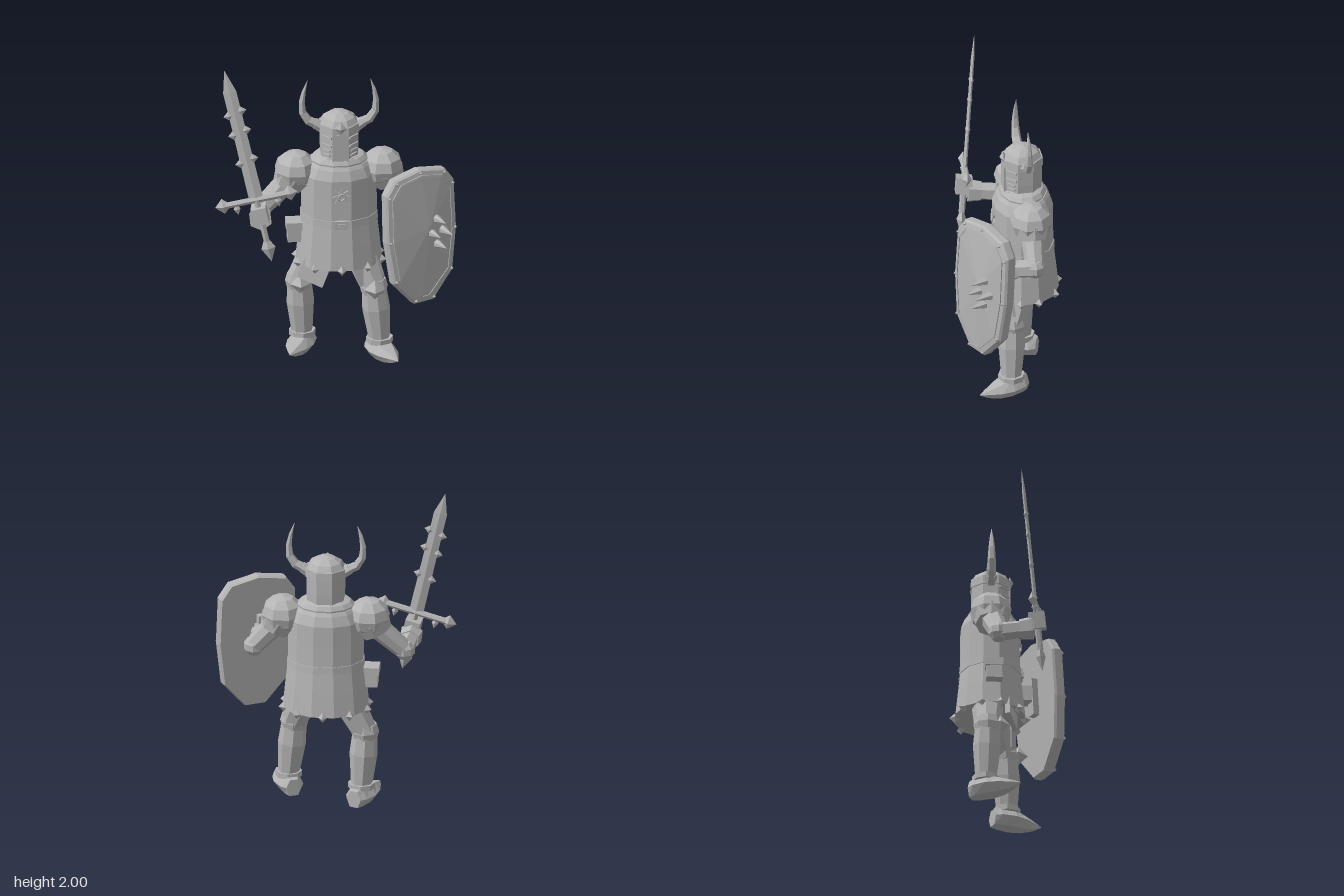
import * as THREE from 'three';

const steel = new THREE.MeshStandardMaterial({ color: 0xb4b4b4, flatShading: true });
steel.name = 'grey steel';
const V = (x, y, z) => new THREE.Vector3(x, y, z);
const CX = 0.044, CZ = -0.115; // body axis

function add(parent, name, geo, pos) {
  const g = geo.index ? geo.toNonIndexed() : geo;
  g.computeVertexNormals();
  const m = new THREE.Mesh(g, steel);
  m.name = name;
  if (pos) m.position.set(...pos);
  parent.add(m);
  return m;
}
// Elliptical polygon lying flat at height y
function ring(y, rx, rz, n, rot = 0, cx = 0, cz = 0) {
  return Array.from({ length: n }, (_, i) => {
    const a = rot + (i / n) * Math.PI * 2;
    return V(cx + rx * Math.sin(a), y, cz + rz * Math.cos(a));
  });
}
// Skin over a row of equal-sized rings, capped at both ends
function loft(rings) {
  const p = [], n = rings[0].length;
  const tri = (...t) => t.forEach(v => p.push(v.x, v.y, v.z));
  const mid = r => r.reduce((s, v) => s.add(v), V(0, 0, 0)).divideScalar(n);
  const a = rings[0], b = rings[rings.length - 1], ma = mid(a), mb = mid(b);
  for (let i = 0; i < n; i++) {
    const k = (i + 1) % n;
    for (let j = 0; j + 1 < rings.length; j++) {
      tri(rings[j][i], rings[j][k], rings[j + 1][i]);
      tri(rings[j][k], rings[j + 1][k], rings[j + 1][i]);
    }
    tri(a[k], a[i], ma);
    tri(b[i], b[k], mb);
  }
  const g = new THREE.BufferGeometry();
  g.setAttribute('position', new THREE.Float32BufferAttribute(p, 3));
  return g;
}
// Straight tapered segment between two points
function limb(parent, name, a, b, r0, r1, sides = 8) {
  const A = V(...a), B = V(...b), d = B.clone().sub(A);
  const m = add(parent, name, new THREE.CylinderGeometry(r1, r0, d.length(), sides));
  m.position.copy(A).add(B).multiplyScalar(0.5);
  m.quaternion.setFromUnitVectors(V(0, 1, 0), d.normalize());
  return m;
}
const box = (p, name, w, h, d, pos) => add(p, name, new THREE.BoxGeometry(w, h, d), pos);
function gem(p, name, rx, ry, rz, pos) {
  return add(p, name, new THREE.OctahedronGeometry(1).scale(rx, ry, rz), pos);
}

function buildTorso(root) {
  const g = new THREE.Group(); g.name = 'torso'; root.add(g);
  const R = (y, rx, rz) => ring(y, rx, rz, 12, Math.PI / 12, CX, CZ);
  add(g, 'surcoat', loft([R(0.63, 0.272, 0.223), R(0.78, 0.257, 0.207), R(0.93, 0.24, 0.19),
    R(1.08, 0.238, 0.187), R(1.22, 0.234, 0.187), R(1.28, 0.2, 0.165), R(1.3, 0.185, 0.15)]));
  add(g, 'gorget', loft([R(1.27, 0.172, 0.14), R(1.31, 0.18, 0.145), R(1.335, 0.155, 0.13), R(1.345, 0.12, 0.11)]));
  add(g, 'belt', loft([R(0.908, 0.246, 0.198), R(0.955, 0.243, 0.195)]));
  box(g, 'buckle', 0.085, 0.055, 0.02, [CX, 0.932, 0.077]);
  box(g, 'buckleTongue', 0.045, 0.025, 0.02, [CX, 0.932, 0.083]);
  for (const deg of [0, 38, 75, 105, 142, 180, 218, 255, 285, 322]) {
    const a = deg * Math.PI / 180;
    gem(g, 'hemSpike', 0.028, 0.034, 0.034,
      [CX + 0.265 * Math.sin(a), 0.632, CZ + 0.217 * Math.cos(a)]).rotation.y = a;
  }
  // Eight-pointed chest star
  const star = new THREE.Shape();
  for (let i = 0; i < 16; i++) {
    const r = i % 2 ? 0.03 : 0.058, a = i * Math.PI / 8;
    star[i ? 'lineTo' : 'moveTo'](r * Math.sin(a), r * Math.cos(a));
  }
  add(g, 'chestStar', new THREE.ExtrudeGeometry(star, { depth: 0.012, bevelEnabled: false }), [CX, 1.12, 0.063]);
  add(g, 'starRing', new THREE.TorusGeometry(0.02, 0.006, 4, 10), [CX, 1.12, 0.077]);
  box(g, 'pouch', 0.085, 0.1, 0.1, [-0.235, 0.82, -0.1]);
  box(g, 'pouchFlap', 0.1, 0.05, 0.11, [-0.237, 0.875, -0.1]);
}

function buildHelmet(root) {
  const g = new THREE.Group(); g.name = 'helmet'; g.position.set(CX, 0, -0.113); root.add(g);
  const R = (y, r) => ring(y, r, r, 8, Math.PI / 8);
  add(g, 'helmetShell', loft([R(1.3, 0.12), R(1.4, 0.125), R(1.55, 0.125), R(1.59, 0.1), R(1.615, 0.06), R(1.627, 0.012)]));
  add(g, 'browBand', loft([R(1.5, 0.132), R(1.555, 0.13)]));
  box(g, 'facePlate', 0.104, 0.2, 0.02, [0, 1.41, 0.113]);
  gem(g, 'browGem', 0.04, 0.042, 0.022, [0, 1.555, 0.121]);
  for (const s of [-1, 1]) {
    [1.335, 1.365, 1.395, 1.43, 1.485].forEach((y, i) => {
      box(g, i < 3 ? 'breathBar' : 'eyeRim', i < 3 ? 0.055 : 0.08, 0.013, 0.018, [s * 0.082, y, 0.082]).rotation.y = s * Math.PI / 4;
    });
    // Horn rings follow a bent path that sweeps out and up
    limb(g, 'hornSocket', [s * 0.1, 1.515, 0], [s * 0.15, 1.545, 0], 0.038, 0.034, 6);
    const path = [[0.13, 1.535, 0.031], [0.19, 1.565, 0.029], [0.225, 1.62, 0.025],
      [0.23, 1.69, 0.02], [0.218, 1.76, 0.013], [0.195, 1.835, 0.001]];
    const rings = path.map(([x, y, r], i) => {
      const q = path[Math.max(i - 1, 0)], n = path[Math.min(i + 1, path.length - 1)];
      const t = Math.atan2(s * (n[0] - q[0]), n[1] - q[1]);
      return ring(0, r, r, 6).map(v => V(s * x + v.x * Math.cos(t), y - v.x * Math.sin(t), v.z));
    });
    add(g, 'horn', loft(rings));
  }
}

function buildArm(root, side, elbow, wrist) {
  const g = new THREE.Group(); g.name = side < 0 ? 'rightArm' : 'leftArm'; root.add(g);
  const x = CX + side * 0.267;
  add(g, 'pauldron', new THREE.SphereGeometry(0.135, 8, 6).scale(1, 0.9, 1), [x, 1.235, -0.12]).rotation.y = Math.PI / 8;
  limb(g, 'pauldronRim', [x + side * 0.015, 1.2, -0.12], [x + side * 0.05, 1.13, -0.12], 0.122, 0.097);
  limb(g, 'upperArm', [x + side * 0.01, 1.2, -0.12], elbow, 0.075, 0.06);
  add(g, 'elbow', new THREE.SphereGeometry(0.066, 8, 5), elbow);
  limb(g, 'forearm', elbow, wrist, 0.06, 0.055, 6);
  const a = V(...elbow), b = V(...wrist);
  limb(g, 'gauntletCuff', a.clone().lerp(b, 0.6).toArray(), a.clone().lerp(b, 0.95).toArray(), 0.066, 0.076, 6);
  return g;
}

function buildLeg(root, side, hip, knee, ankle) {
  const g = new THREE.Group(); g.name = side < 0 ? 'rightLeg' : 'leftLeg'; root.add(g);
  limb(g, 'thigh', hip, knee, 0.11, 0.082);
  const [kx, ky, kz] = knee, [ax, , az] = ankle;
  limb(g, 'kneeBand', [kx, ky, kz], [kx, ky + 0.05, kz], 0.088, 0.074);
  limb(g, 'kneeBandLower', [kx, ky, kz], [kx, ky - 0.045, kz], 0.088, 0.077);
  gem(g, 'kneeSpike', 0.065, 0.065, 0.06, [kx, ky + 0.005, kz + 0.08]);
  const calf = V(...knee).lerp(V(...ankle), 0.4).toArray();
  limb(g, 'upperGreave', knee, calf, 0.076, 0.087);
  limb(g, 'lowerGreave', calf, ankle, 0.087, 0.065);
  limb(g, 'ankleCuff', [ax, 0.135, az], [ax, 0.1, az], 0.083, 0.083);
  const t = box(g, 'tasset', 0.17, 0.17, 0.03, [CX + side * 0.16, 0.605, 0.01]);
  t.rotation.set(-0.12, side * 0.3, side * 0.38);
  // Pointed sabaton: six-sided sections from heel to toe
  const sec = [[-0.1, 0.05, 0.11], [-0.06, 0.075, 0.125], [0.03, 0.088, 0.125], [0.11, 0.07, 0.1], [0.18, 0.035, 0.08], [0.235, 0.002, 0.062]];
  const rings = sec.map(([z, w, top]) => {
    const lo = z > 0.2 ? 0.058 : 0.005 + Math.max(0, z - 0.08) * 0.25;
    return [[w, 0.06], [w * 0.5, top], [-w * 0.5, top], [-w, 0.06], [-w * 0.55, lo], [w * 0.55, lo]].map(([x, y]) => V(x, y, z));
  });
  add(g, 'boot', loft(rings), [ax, -0.004, az]).rotation.y = side * 0.42;
}

function buildSword(root) {
  const g = new THREE.Group(); g.name = 'sword'; g.position.set(-0.49, 1.16, 0.145); root.add(g);
  const up = V(-0.19, 0.84, -0.095).normalize();
  const z = V(0.485, 0.11, 0.06).cross(up).normalize();
  g.quaternion.setFromRotationMatrix(new THREE.Matrix4().makeBasis(up.clone().cross(z), up, z));
  const R = (y, w, d) => ring(y, w, d, 4);
  add(g, 'blade', loft([R(0, 0.045, 0.013), R(0.45, 0.042, 0.012), R(0.72, 0.042, 0.011), R(0.866, 0.001, 0.001)]));
  for (const y of [0.26, 0.45, 0.58]) for (const s of [-1, 1])
    gem(g, 'bladeBarb', 0.034, 0.03, 0.014, [s * 0.042, y + s * 0.01, 0]);
  limb(g, 'crossguard', [-0.21, 0, 0], [0.21, 0, 0], 0.02, 0.02, 6);
  for (const s of [-1, 1]) {
    gem(g, 'guardPoint', 0.052, 0.05, 0.03, [s * 0.21, 0, 0]);
    gem(g, 'guardSpike', 0.022, 0.04, 0.02, [s * 0.13, -0.035, 0]);
  }
  limb(g, 'grip', [0, -0.28, 0], [0, 0, 0], 0.02, 0.02, 6);
  box(g, 'fist', 0.095, 0.105, 0.1, [0, -0.1, 0]);
  gem(g, 'pommel', 0.045, 0.09, 0.03, [0, -0.325, 0]);
}

function buildShield(root) {
  const g = new THREE.Group(); g.name = 'shield'; g.position.set(0.495, 0.918, 0.18);
  g.rotation.set(-0.06, 0.48, 0, 'YXZ'); root.add(g);
  const half = [[0.07, -0.445], [0.215, -0.28], [0.253, 0], [0.248, 0.31], [0.185, 0.4]];
  const outline = [...half, [0, 0.435], ...half.map(([u, v]) => [-u, v]).reverse()];
  const R = (s, w) => outline.map(([u, v]) => V(u - Math.sign(u) * (1 - s) * 0.24, v * (1 - (1 - s) * 0.55), w));
  add(g, 'shieldBody', loft([R(0.97, 0), R(1, 0.015), R(1, 0.06), R(0.96, 0.075), R(0.86, 0.081), R(0.86, 0.088),
    R(0.81, 0.09), R(0.81, 0.084), outline.map(([u, v]) => V(u * 0.04 + 0.03, v * 0.04 + 0.05, 0.115))]));
  outline.forEach(([u, v]) => gem(g, 'rivet', 0.013, 0.013, 0.014, [u * 0.93, v * 0.95, 0.079]));
  for (const [u, v] of [[0.085, 0.1], [0.045, 0.015], [0.13, 0.015], [0.085, -0.065]])
    limb(g, 'shieldSpike', [u, v, 0.095], [u, v, 0.212], 0.03, 0.001, 6);
  box(g, 'shieldGrip', 0.06, 0.24, 0.04, [-0.02, 0.06, -0.02]);
}

export function createModel() {
  const root = new THREE.Group(); root.name = 'hornedKnight';
  buildTorso(root);
  buildHelmet(root);
  buildArm(root, -1, [-0.44, 1.0, -0.08], [-0.465, 1.02, 0.14]);
  const left = buildArm(root, 1, [0.49, 1.005, -0.11], [0.46, 0.995, 0.08]);
  box(left, 'fist', 0.09, 0.1, 0.1, [0.465, 0.99, 0.11]);
  buildLeg(root, -1, [-0.06, 0.74, -0.13], [-0.2, 0.475, -0.14], [-0.18, 0.11, -0.15]);
  buildLeg(root, 1, [0.15, 0.74, -0.1], [0.25, 0.475, -0.012], [0.285, 0.11, 0.0]);
  buildSword(root);
  buildShield(root);
  return root;
}
